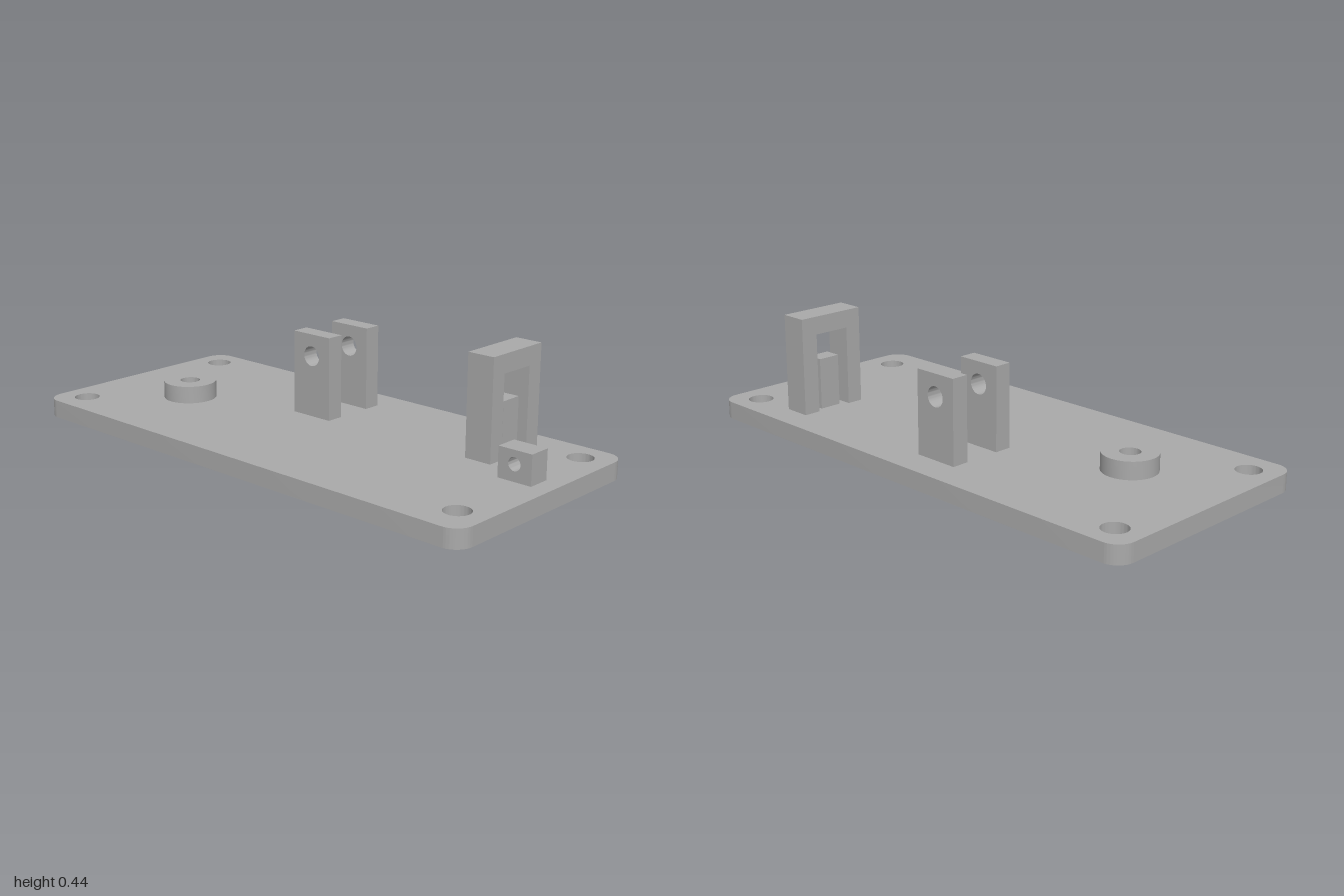
import * as THREE from 'three';
import { toCreasedNormals } from 'three/addons/utils/BufferGeometryUtils.js';

const PLATE_TOP = 0.067;

// Circle as a hole: [x, y, radius]
function hole([x, y, r]) {
  return new THREE.Path().absarc(x, y, r, 0, Math.PI * 2, true);
}

function rectangle(x0, y0, x1, y1) {
  return new THREE.Shape([[x0, y0], [x1, y0], [x1, y1], [x0, y1]].map(p => new THREE.Vector2(...p)));
}

function extrude(shape, depth, holes = []) {
  shape.holes.push(...holes.map(hole));
  const geometry = new THREE.ExtrudeGeometry(shape, { depth, bevelEnabled: false, curveSegments: 24 });
  return toCreasedNormals(geometry, 0.6);
}

export function createModel() {
  const model = new THREE.Group();
  model.name = 'mountingPlate';
  const grey = new THREE.MeshStandardMaterial({ color: 0xaaaaaa });
  grey.name = 'grey';

  function add(name, geometry, x = 0, y = 0, z = 0) {
    const mesh = new THREE.Mesh(geometry, grey);
    mesh.name = name;
    mesh.position.set(x, y, z);
    model.add(mesh);
  }

  // Base plate with rounded corners, four screw holes and the boss bore (shape y is -z)
  const W = 1, D = 0.456, R = 0.067, bore = [-0.61, -0.063, 0.037];
  const outline = new THREE.Shape();
  outline.absarc(W - R, D - R, R, 0, Math.PI / 2);
  outline.absarc(-W + R, D - R, R, Math.PI / 2, Math.PI);
  outline.absarc(-W + R, -D + R, R, Math.PI, Math.PI * 1.5);
  outline.absarc(W - R, -D + R, R, Math.PI * 1.5, Math.PI * 2);
  const screwHoles = [[-0.893, 0.35], [0.89, 0.35], [-0.893, -0.343], [0.89, -0.323]];
  add('basePlate', extrude(outline, PLATE_TOP, [...screwHoles.map(p => [...p, 0.047]), bore])
    .rotateX(-Math.PI / 2));

  // Round boss
  const disc = new THREE.Shape().absarc(bore[0], bore[1], 0.1, 0, Math.PI * 2);
  add('boss', extrude(disc, 0.065, [bore]).rotateX(-Math.PI / 2), 0, PLATE_TOP);

  // Pair of drilled lugs
  [['frontLug', -0.134], ['backLug', -0.338]].forEach(([name, z]) => {
    add(name, extrude(rectangle(-0.177, PLATE_TOP, -0.003, 0.377), 0.065, [[-0.09, 0.295, 0.037]]), 0, 0, z);
  });

  // Small drilled tab
  add('smallTab', extrude(rectangle(0.802, PLATE_TOP, 0.933, 0.175), 0.085, [[0.866, 0.127, 0.024]]), 0, 0, -0.085);

  // Arch across z (shape x is -z), with a stop block between its legs
  const arch = new THREE.Shape([
    [0.083, PLATE_TOP], [0.145, PLATE_TOP], [0.145, 0.367], [0.287, 0.367],
    [0.287, PLATE_TOP], [0.352, PLATE_TOP], [0.352, 0.435], [0.083, 0.435],
  ].map(p => new THREE.Vector2(...p)));
  add('arch', extrude(arch, 0.104).rotateY(Math.PI / 2), 0.608);
  const blockHeight = 0.195;
  add('stopBlock', new THREE.BoxGeometry(0.064, blockHeight, 0.086), 0.66, PLATE_TOP + blockHeight / 2, -0.217);

  return model;
}
